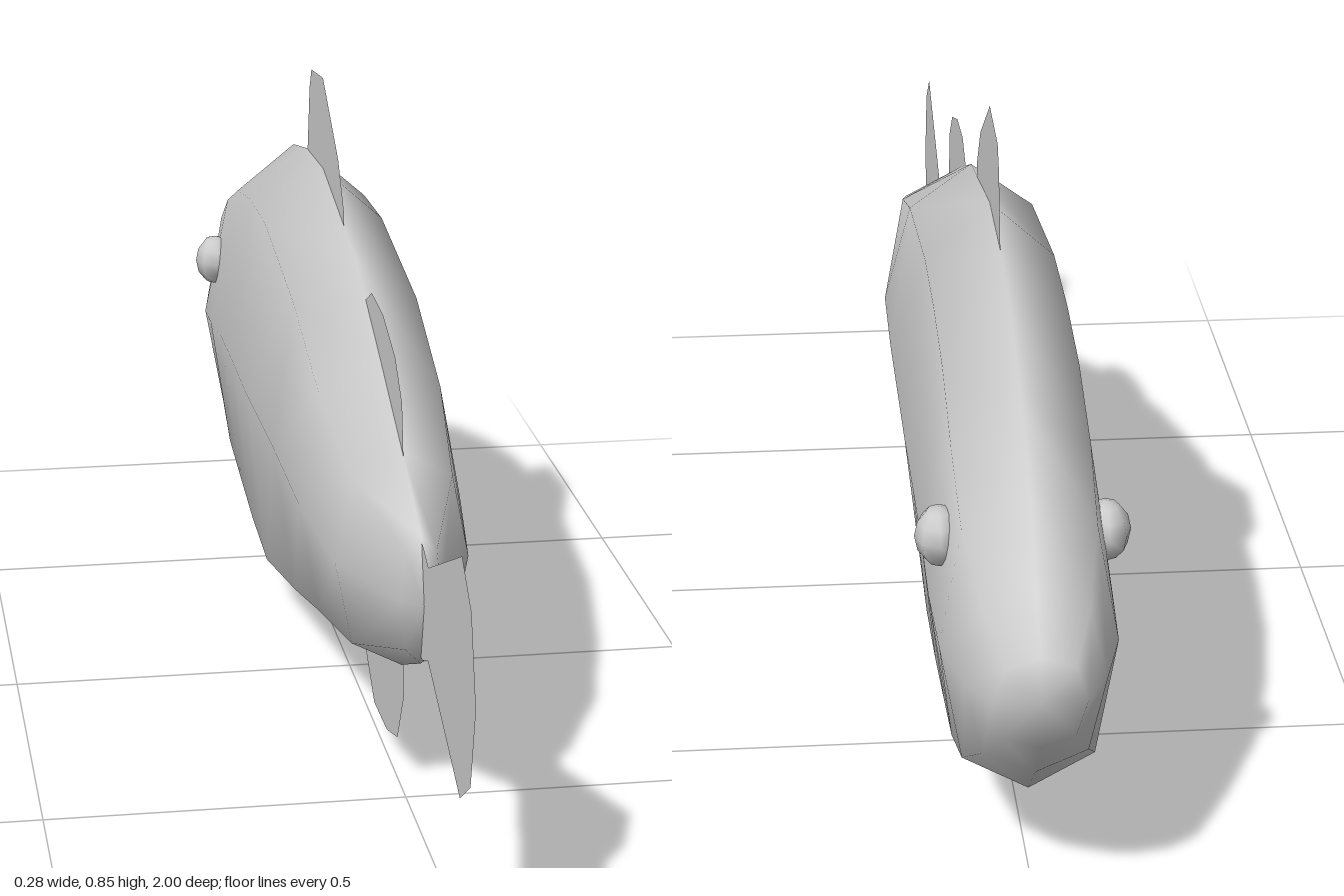
import * as THREE from 'three';

const solid = new THREE.MeshStandardMaterial({ color: 0xcccccc });
const thin = new THREE.MeshStandardMaterial({ color: 0xcccccc, side: THREE.DoubleSide });

// Body cross-sections from tail to nose: z, top, bottom, half width
const SECTIONS = [
  [0.61, 0.42, 0.24, 0.028],
  [0.46, 0.487, 0.18, 0.092],
  [0.27, 0.565, 0.145, 0.115],
  [0.05, 0.65, 0.08, 0.12],
  [-0.26, 0.705, 0.0, 0.12],
  [-0.43, 0.696, 0.012, 0.12],
  [-0.58, 0.667, 0.037, 0.12],
  [-0.72, 0.605, 0.066, 0.12],
  [-0.84, 0.53, 0.112, 0.115],
  [-0.93, 0.44, 0.185, 0.09],
  [-0.985, 0.375, 0.25, 0.06],
];
// Eight-sided ring: x and y as fractions of half width and half height
const RING = [[0, 1], [0.75, 0.77], [1, 0], [0.75, -0.77], [0, -1], [-0.75, -0.77], [-1, 0], [-0.75, 0.77]];

function bodyGeometry() {
  const n = RING.length, last = SECTIONS.length - 1;
  const pos = [], index = [];
  for (const [z, top, bottom, w] of SECTIONS) {
    const mid = (top + bottom) / 2, h = (top - bottom) / 2;
    for (const [x, y] of RING) pos.push(x * w, mid + y * h, z);
  }
  const tail = n * (last + 1), nose = tail + 1;
  pos.push(0, 0.33, 0.635, 0, 0.32, -1);
  for (let j = 0; j < n; j++) {
    const k = (j + 1) % n;
    index.push(tail, k, j);
    for (let i = 0; i < last; i++) {
      const a = i * n + j, b = i * n + k;
      index.push(a, b, a + n, b, b + n, a + n);
    }
    index.push(last * n + j, last * n + k, nose);
  }
  const g = new THREE.BufferGeometry();
  g.setAttribute('position', new THREE.Float32BufferAttribute(pos, 3));
  g.setIndex(index);
  g.computeVertexNormals();
  return g;
}

// Flat fin outlines as [z, y]; the base sits inside the body
const FINS = {
  tailFin: [[0.6, 0.41], [0.625, 0.41], [0.665, 0.395], [0.9, 0.495], [0.965, 0.445], [1, 0.33],
    [0.97, 0.215], [0.9, 0.17], [0.665, 0.265], [0.625, 0.25], [0.6, 0.25]],
  frontDorsalFin: [[-0.06, 0.62], [-0.055, 0.69], [-0.11, 0.755], [-0.26, 0.845], [-0.38, 0.832],
    [-0.4, 0.8], [-0.425, 0.69], [-0.26, 0.66]],
  rearDorsalFin: [[0.47, 0.46], [0.465, 0.5], [0.455, 0.555], [0.4, 0.602], [0.3, 0.633], [0.2, 0.638],
    [0.13, 0.605], [0.13, 0.58]],
  analFin: [[0.47, 0.22], [0.48, 0.14], [0.43, 0.06], [0.34, 0.035], [0.23, 0.032], [0.13, 0.1], [0.13, 0.14]],
};

export function createModel() {
  const model = new THREE.Group();
  const add = (name, geometry, material) => {
    const mesh = new THREE.Mesh(geometry, material);
    mesh.name = name;
    model.add(mesh);
    return mesh;
  };

  add('body', bodyGeometry(), solid);

  for (const [name, outline] of Object.entries(FINS)) {
    const shape = new THREE.Shape(outline.map(([z, y]) => new THREE.Vector2(z, y)));
    add(name, new THREE.ShapeGeometry(shape).rotateY(-Math.PI / 2), thin);
  }

  // Small flattened eyes on both sides of the head
  for (const [name, side] of [['leftEye', 1], ['rightEye', -1]]) {
    const eye = add(name, new THREE.SphereGeometry(0.04, 8, 6).scale(0.8, 1, 1), solid);
    eye.position.set(side * 0.108, 0.435, -0.75);
  }
  return model;
}
